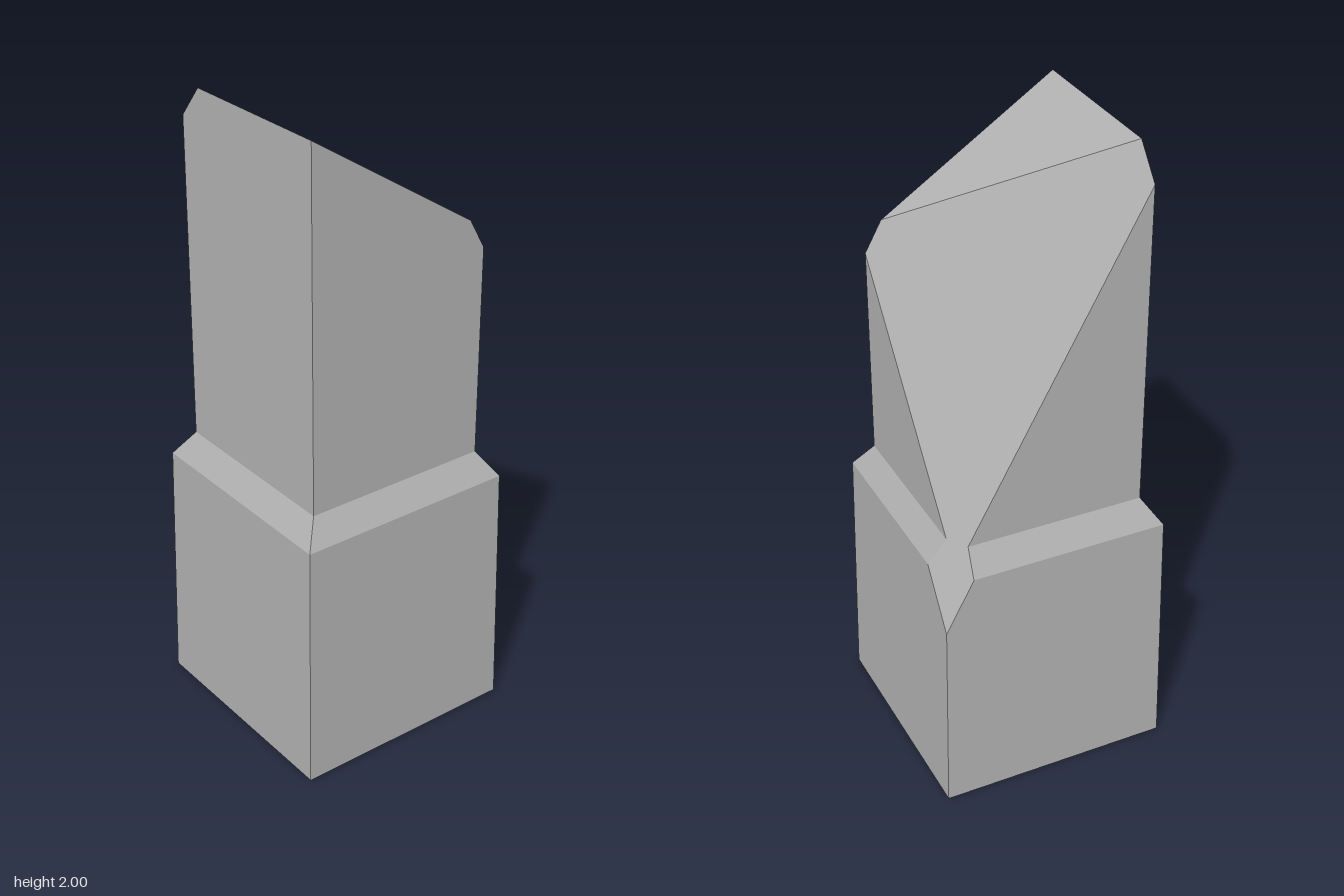
import * as THREE from 'three';

const V = (x, y, z) => new THREE.Vector3(x, y, z);
const plane = (n, p) => new THREE.Plane().setFromNormalAndCoplanarPoint(n.normalize(), p);

// The steep diagonal cut and the sloping top; material on the normal side is removed
const cuts = [
  plane(V(1.814, 1, -1.231), V(0.3, 1.545, 0.3)),
  plane(V(0.657, 1, -0.01), V(-0.3, 2, 0.3)),
];

// Clip convex faces by a plane and close the hole with a cap face
function slice(faces, cut) {
  const rim = [];
  const addRim = (p) => { if (!rim.some((q) => q.distanceTo(p) < 1e-5)) rim.push(p); };
  const kept = faces.map((face) => {
    const out = [];
    face.forEach((a, i) => {
      const b = face[(i + 1) % face.length];
      const da = cut.distanceToPoint(a), db = cut.distanceToPoint(b);
      if (da <= 0) out.push(a);
      if ((da <= 0) !== (db <= 0)) {
        const p = a.clone().lerp(b, da / (da - db));
        out.push(p);
        addRim(p);
      }
    });
    return out;
  }).filter((face) => face.length > 2);
  if (rim.length > 2) {
    const c = rim.reduce((s, p) => s.add(p), V(0, 0, 0)).divideScalar(rim.length);
    const u = rim[0].clone().sub(c).normalize();
    const v = cut.normal.clone().cross(u);
    const angle = (p) => Math.atan2(p.clone().sub(c).dot(v), p.clone().sub(c).dot(u));
    kept.push(rim.sort((a, b) => angle(a) - angle(b)));
  }
  return kept;
}

// Square tier from half-width w0 at y0 to w1 at y1, sliced by both cuts
function tier(w0, y0, w1, y1, closed) {
  const ring = (w, y) => [V(w, y, w), V(w, y, -w), V(-w, y, -w), V(-w, y, w)];
  const lo = ring(w0, y0), hi = ring(w1, y1);
  let faces = lo.map((p, i) => [p, lo[(i + 1) % 4], hi[(i + 1) % 4], hi[i]]);
  if (closed) faces.push([...lo].reverse());
  for (const cut of cuts) faces = slice(faces, cut);
  const points = [];
  for (const f of faces) {
    for (let i = 1; i < f.length - 1; i++) points.push(f[0], f[i], f[i + 1]);
  }
  const geometry = new THREE.BufferGeometry().setFromPoints(points);
  geometry.computeVertexNormals();
  return geometry;
}

export function createModel() {
  const group = new THREE.Group();
  group.name = 'slicedPillar';
  const stone = new THREE.MeshStandardMaterial({ color: 0xb0b0b0 });
  stone.name = 'grey stone';

  const add = (name, ...args) => {
    const mesh = new THREE.Mesh(tier(...args), stone);
    mesh.name = name;
    group.add(mesh);
  };
  add('base', 0.365, 0, 0.354, 0.8, true);
  add('shoulder', 0.354, 0.8, 0.3, 0.88, false);
  add('shaft', 0.3, 0.88, 0.3, 2.6, false);
  return group;
}
